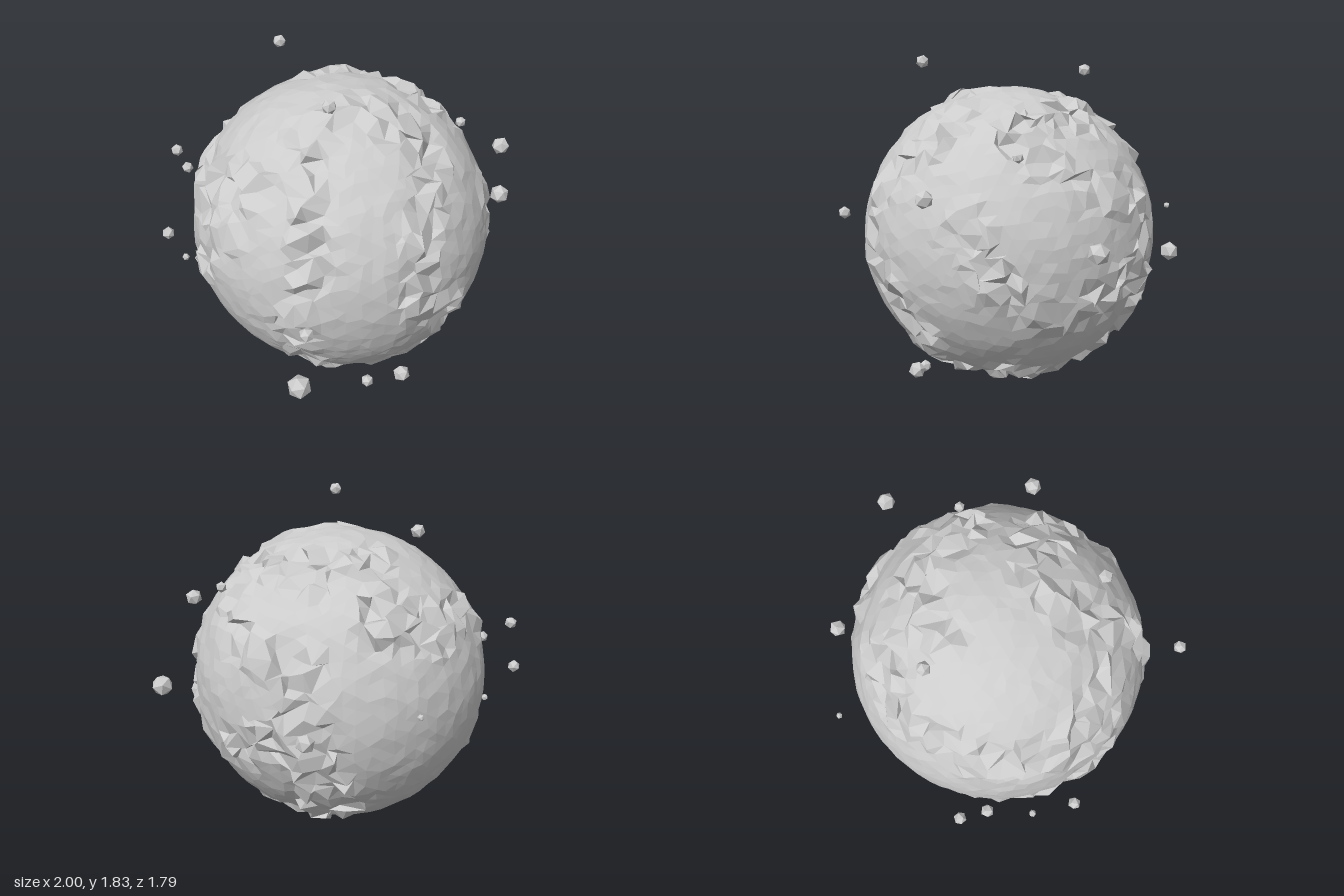
import * as THREE from 'three';
import { mergeVertices } from 'three/addons/utils/BufferGeometryUtils.js';

const V = (x, y, z) => new THREE.Vector3(x, y, z);
const CENTER = V(-0.07, 0.9, 0.01);
const RADIUS = 0.775;

// Seeded random in -1..1
function makeRandom(seed) {
  let s = seed;
  return () => {
    s = (s * 1664525 + 1013904223) % 4294967296;
    return s / 2147483648 - 1;
  };
}

// Faces of the globe on which ridges are laid out: [right, up, outward]
const SIDES = {
  front: [V(1, 0, 0), V(0, 1, 0), V(0, 0, 1)],
  right: [V(0, 0, -1), V(0, 1, 0), V(1, 0, 0)],
  top: [V(1, 0, 0), V(0, 0, -1), V(0, 1, 0)],
  backLeft: [V(-0.82, 0, 0.574), V(0.252, 0.9, 0.36), V(-0.516, 0.438, -0.737)],
  backRightLow: [V(-0.82, 0, -0.574), V(0.252, 0.9, -0.36), V(0.516, -0.438, -0.737)],
};

// Ridge paths as points across each side, in units of the radius
const RIDGES = [
  ['front', [-0.17, 0.93], [-0.41, 0.67], [-0.46, 0.36], [-0.55, 0.08], [-0.6, -0.23], [-0.5, -0.57], [-0.4, -0.78]],
  ['front', [0.11, 0.91], [0.35, 0.63], [0.14, 0.32], [0.13, -0.09], [0.42, -0.23], [0.45, -0.5], [0.25, -0.8], [-0.15, -0.83], [-0.45, -0.75]],
  ['top', [-0.41, -0.55], [-0.3, -0.32], [0, -0.26], [0.3, -0.38], [0.4, -0.6]],
  ['top', [0.55, -0.1], [0.45, 0.18], [0.2, 0.45], [-0.05, 0.35], [0.1, 0.7]],
  ['top', [-0.93, 0], [-0.8, 0.35], [-0.5, 0.7], [-0.15, 0.8], [0.2, 0.8]],
  ['top', [-0.93, 0], [-0.85, -0.4]],
  ['right', [-0.46, 0.3], [-0.37, 0], [-0.2, -0.2], [0.05, -0.3], [0.35, -0.24], [0.6, -0.1], [0.75, 0.1], [0.65, 0.35]],
  ['right', [-0.15, 0.72], [0, 0.65], [0.2, 0.5], [0.45, 0.42], [0.65, 0.38]],
  ['right', [0.05, 0.84], [0.45, 0.8]],
  ['right', [-0.7, -0.5], [-0.65, -0.72], [-0.28, -0.87], [0.1, -0.9], [0.47, -0.72], [0.72, -0.4], [0.65, -0.1]],
  ['backLeft', [-0.5, 0.2], [-0.3, 0.1], [0, 0.2], [0.25, 0], [0.55, 0.05], [0.7, 0.3], [0.78, 0.55]],
  ['backLeft', [0.2, -0.75], [0.5, -0.65], [0.8, -0.4], [0.93, -0.1]],
  ['backRightLow', [-0.05, 0.75], [0, 0.5], [0.05, 0.1], [0.15, -0.25], [0, -0.5], [-0.3, -0.65], [-0.6, -0.6]],
];

// Evenly spread directions along all ridges
function ridgeSamples() {
  const samples = [];
  for (const [side, ...path] of RIDGES) {
    const [r, u, d] = SIDES[side];
    const points = path.map(([a, b]) =>
      V(0, 0, 0).addScaledVector(r, a).addScaledVector(u, b)
        .addScaledVector(d, Math.sqrt(Math.max(0, 1 - a * a - b * b))).normalize());
    for (let i = 0; i + 1 < points.length; i++) {
      for (let k = 0; k <= 8; k++) samples.push(points[i].clone().lerp(points[i + 1], k / 8).normalize());
    }
  }
  return samples;
}

// Faceted globe, calm on the plates and shattered along the ridges
function globeGeometry() {
  const random = makeRandom(7);
  const base = new THREE.IcosahedronGeometry(1, 13);
  base.deleteAttribute('uv');
  base.deleteAttribute('normal');
  const geometry = mergeVertices(base, 1e-4);
  const samples = ridgeSamples();
  const position = geometry.attributes.position;
  const p = V(0, 0, 0);
  for (let i = 0; i < position.count; i++) {
    p.fromBufferAttribute(position, i).normalize();
    let nearest = 4;
    for (const s of samples) nearest = Math.min(nearest, p.distanceToSquared(s));
    const rough = 1 - THREE.MathUtils.smoothstep(Math.sqrt(nearest), 0.06, 0.17);
    const slide = 0.018 + 0.035 * rough;
    p.add(V(random(), random(), random()).multiplyScalar(slide)).normalize();
    p.multiplyScalar(RADIUS * (1 + random() * (0.005 + 0.04 * rough)));
    position.setXYZ(i, p.x, p.y, p.z);
  }
  const faceted = geometry.toNonIndexed();
  faceted.computeVertexNormals();
  return faceted;
}

// Floating rocks: x, y, z, radius
const ROCKS = [
  [-0.27, 1.8, 0.43, 0.035], [-0.23, 1.74, -0.46, 0.035], [0.95, 1.06, -0.12, 0.052],
  [-0.97, 0.97, -0.07, 0.032], [-0.88, 0.67, -0.24, 0.02], [-0.44, 0.07, 0.34, 0.07],
  [-0.1, 0.14, 0.49, 0.034], [0.07, 0.2, 0.56, 0.046], [0.54, 1.25, 0.57, 0.046],
  [0.54, 1.42, 0.13, 0.028], [-0.54, 0.94, 0.86, 0.036], [0, 1, -0.885, 0.017],
  [0.48, 0.89, -0.68, 0.047], [-0.76, 1.01, -0.6, 0.032], [-0.82, 1.2, -0.48, 0.032],
];

export function createModel() {
  const group = new THREE.Group();
  group.name = 'rockyPlanet';
  const material = new THREE.MeshStandardMaterial({ color: 0xcccccc, flatShading: true });

  const globe = new THREE.Mesh(globeGeometry(), material);
  globe.name = 'globe';
  globe.position.copy(CENTER);
  group.add(globe);

  const random = makeRandom(21);
  const rocks = new THREE.Group();
  rocks.name = 'floatingRocks';
  ROCKS.forEach(([x, y, z, r], i) => {
    const rock = new THREE.Mesh(new THREE.IcosahedronGeometry(r, 0), material);
    rock.name = `rock${i + 1}`;
    rock.position.set(x, y, z);
    rock.rotation.set(random() * 3, random() * 3, random() * 3);
    rocks.add(rock);
  });
  group.add(rocks);
  return group;
}
